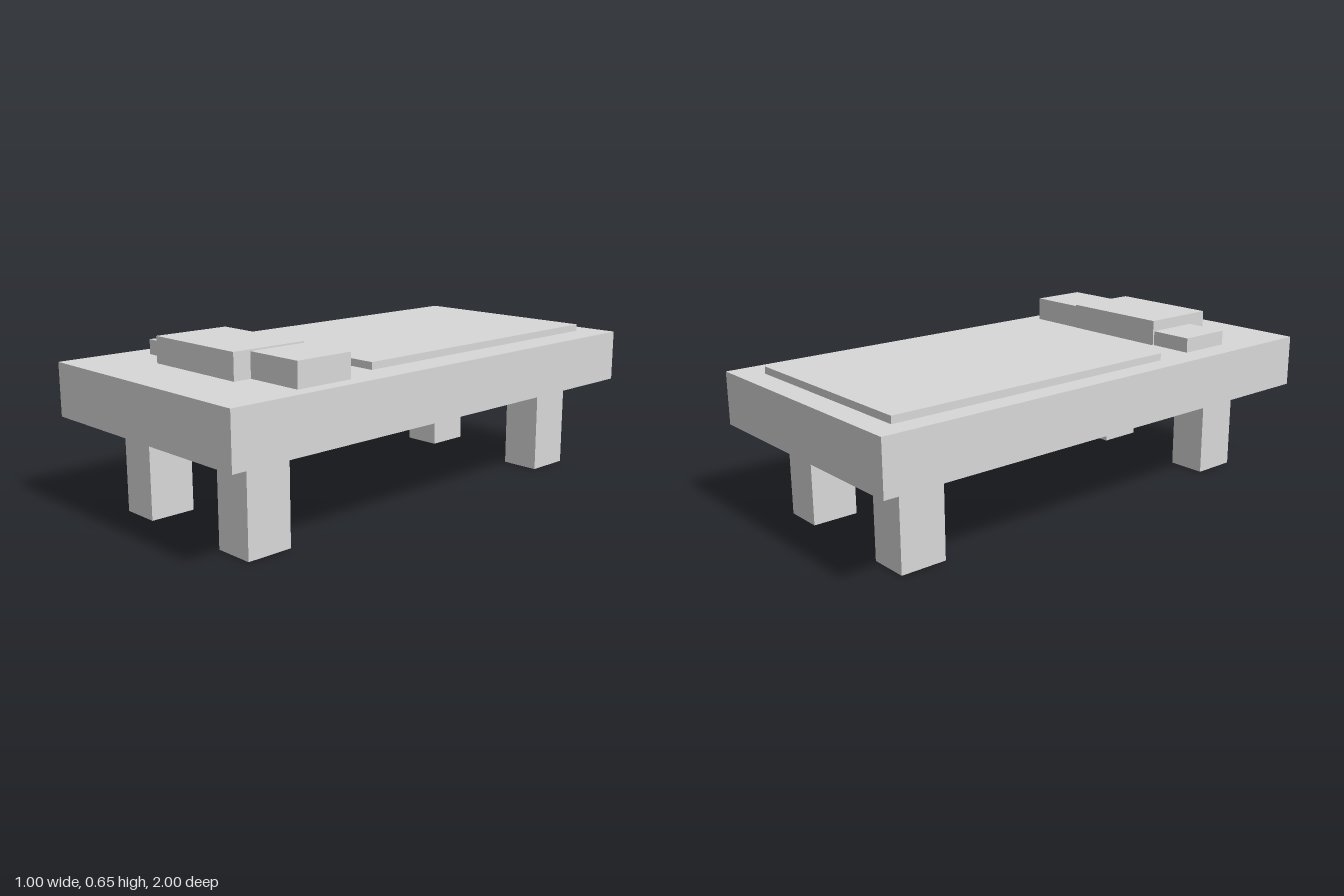
import * as THREE from 'three';

export function createModel() {
  const group = new THREE.Group();
  const grey = new THREE.MeshStandardMaterial({ color: 0xd8d8d8 });
  grey.name = 'light grey';

  // Box given by its extents along each axis
  function block(name, [x0, x1], [y0, y1], [z0, z1]) {
    const mesh = new THREE.Mesh(new THREE.BoxGeometry(x1 - x0, y1 - y0, z1 - z0), grey);
    mesh.position.set((x0 + x1) / 2, (y0 + y1) / 2, (z0 + z1) / 2);
    mesh.name = name;
    group.add(mesh);
  }

  const under = 0.354, top = 0.554;
  block('bedBase', [-0.5, 0.5], [under, top], [-1, 1]);

  // Legs, slightly uneven in placement
  const front = [0.665, 0.843], back = [-0.837, -0.657];
  block('frontRightLeg', [-0.337, -0.184], [0, under], front);
  block('frontLeftLeg', [0.211, 0.366], [0, under], front);
  block('backRightLeg', [-0.337, -0.184], [0, under], back);
  block('backLeftLeg', [0.22, 0.374], [0, under], back);

  // Thin blanket and the three pillows
  block('blanket', [-0.417, 0.378], [top, 0.581], [-0.908, 0.302]);
  block('smallPillow', [-0.403, -0.233], [top, 0.61], [0.467, 0.68]);
  block('largePillow', [-0.233, 0.208], [top, 0.652], [0.46, 0.762]);
  block('sidePillow', [0.208, 0.442], [top, 0.646], [0.462, 0.692]);

  return group;
}
